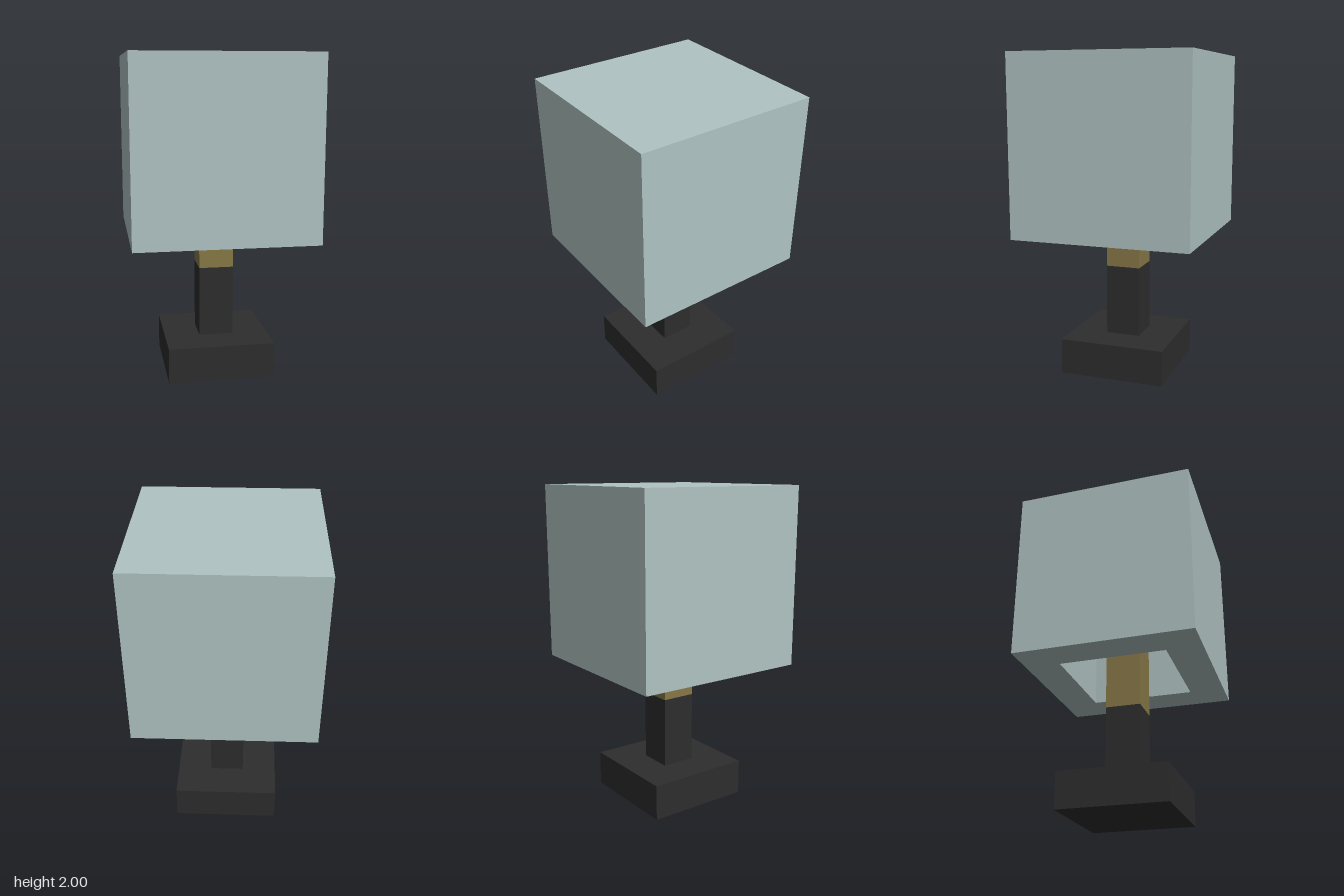
import * as THREE from 'three';

const material = (name, color) => {
  const m = new THREE.MeshStandardMaterial({ color });
  m.name = name;
  return m;
};

// Square block centred on the y axis, from y0 to y1
function block(name, half, y0, y1, mat) {
  const mesh = new THREE.Mesh(new THREE.BoxGeometry(half * 2, y1 - y0, half * 2), mat);
  mesh.position.y = (y0 + y1) / 2;
  mesh.name = name;
  return mesh;
}

function square(Type, half) {
  return new Type([[-1, -1], [1, -1], [1, 1], [-1, 1]].map(([x, y]) => new THREE.Vector2(x * half, y * half)));
}

export function createModel() {
  const dark = material('charcoal', 0x2d2d2d);
  const brass = material('brass', 0x877847);
  const pale = material('pale teal', 0xb0c4c3);

  const lamp = new THREE.Group();
  lamp.name = 'tableLamp';

  // Foot, stem and the brass fitting that rises into the shade
  lamp.add(
    block('base', 0.332, 0, 0.222, dark),
    block('stem', 0.109, 0.222, 0.668, dark),
    block('fitting', 0.109, 0.668, 1.115, brass)
  );

  // Thick-walled cube shade, open at the bottom and closed at the top
  const bottom = 0.894, top = 2, outer = 0.554, inner = 0.333;
  const outline = square(THREE.Shape, outer);
  outline.holes.push(square(THREE.Path, inner));
  const walls = new THREE.ExtrudeGeometry(outline, { depth: top - bottom, bevelEnabled: false });
  walls.rotateX(-Math.PI / 2);
  const shadeWalls = new THREE.Mesh(walls, pale);
  shadeWalls.position.y = bottom;
  shadeWalls.name = 'shadeWalls';

  const shade = new THREE.Group();
  shade.name = 'shade';
  shade.add(shadeWalls, block('shadeCeiling', inner, 1.78, top, pale));
  lamp.add(shade);

  return lamp;
}
